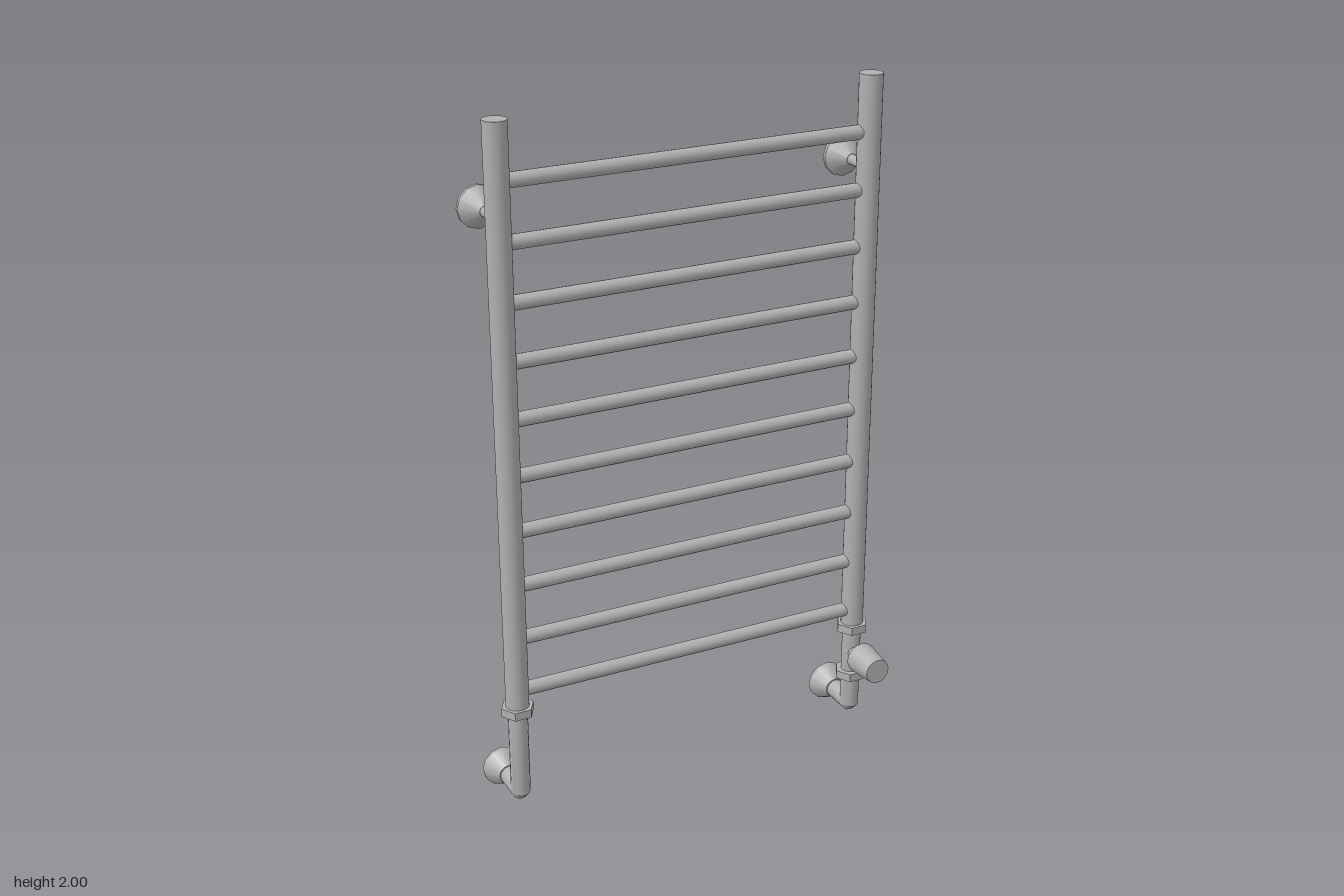
import * as THREE from 'three';
import { toCreasedNormals } from 'three/addons/utils/BufferGeometryUtils.js';

const POST_X = 0.54, AXIS_Z = -0.007, PIPE_R = 0.028, PIPE_Y = 0.063, WALL_Z = -0.15;

export function createModel() {
  const metal = new THREE.MeshStandardMaterial({ color: 0xb0b0b0 });
  metal.name = 'grey metal';
  const model = new THREE.Group();
  model.name = 'towelRadiator';

  function add(name, geometry, x, y, z, parent = model) {
    const mesh = new THREE.Mesh(geometry, metal);
    mesh.name = name;
    mesh.position.set(x, y, z);
    parent.add(mesh);
    return mesh;
  }

  // Round part along z, from z0 (radius r0) to z1 (radius r1), with z0 < z1
  function alongZ(name, x, y, z0, z1, r0, r1, sides, parent) {
    const g = new THREE.CylinderGeometry(r1, r0, z1 - z0, sides).rotateX(Math.PI / 2);
    return add(name, g, x, y, (z0 + z1) / 2, parent);
  }

  // Hexagonal nut with corners pointing along x
  function nut(x, y, parent) {
    const g = new THREE.CylinderGeometry(0.048, 0.048, 0.025, 6).rotateY(Math.PI / 2);
    add('nut', toCreasedNormals(g, 0.5), x, y, AXIS_Z, parent);
  }

  // Flared wall rose with a thin rim
  function wallRose(x, y, neckR, parent) {
    alongZ('roseCone', x, y, WALL_Z + 0.011, -0.093, 0.059, neckR, 12, parent);
    alongZ('roseRim', x, y, WALL_Z, WALL_Z + 0.011, 0.059, 0.059, 12, parent);
  }

  // Vertical pipe that turns back to the wall through a tight mitred elbow
  function elbowPipe(x, topY, parent) {
    const d = 0.005, mitre = 1 / Math.cos(Math.PI / 8);
    const rings = [ // y, z, tilt, stretch
      [topY, 0, 0, 1],
      [PIPE_Y + d, 0, Math.PI / 8, mitre],
      [PIPE_Y, -d, Math.PI * 3 / 8, mitre],
      [PIPE_Y, -0.09 - AXIS_Z, Math.PI / 2, 1],
    ];
    const sides = 16;
    const g = new THREE.CylinderGeometry(PIPE_R, PIPE_R, 1, sides, 3, true);
    const p = g.attributes.position;
    for (let i = 0; i < p.count; i++) {
      const [y, z, tilt, stretch] = rings[Math.floor(i / (sides + 1))];
      const out = p.getZ(i) * stretch;
      p.setY(i, y - out * Math.sin(tilt));
      p.setZ(i, z + out * Math.cos(tilt));
    }
    add('elbowPipe', toCreasedNormals(g, 0.6), x, 0, AXIS_Z, parent);
  }

  // Posts, wall brackets and pipe connections on both sides
  for (const side of [-1, 1]) {
    const x = side * POST_X;
    add('post', new THREE.CylinderGeometry(0.033, 0.033, 1.67, 24), x, 1.165, AXIS_Z);

    const bracket = new THREE.Group();
    bracket.name = 'wallBracket';
    model.add(bracket);
    alongZ('bracketStem', x, 1.74, -0.1, AXIS_Z, 0.015, 0.015, 12, bracket);
    wallRose(x, 1.74, 0.016, bracket);

    const connection = new THREE.Group();
    connection.name = 'pipeConnection';
    model.add(connection);
    nut(x, 0.326, connection);
    elbowPipe(x, 0.33, connection);
    wallRose(x, PIPE_Y, 0.03, connection);
  }

  // Rungs
  for (let i = 0; i < 10; i++) {
    const g = new THREE.CylinderGeometry(0.0205, 0.0205, 1.03, 16).rotateZ(Math.PI / 2);
    add('rung', g, 0, 0.384 + i * 0.1618, AXIS_Z - 0.002);
  }

  // Valve with a tapered knob on the left pipe
  const valve = new THREE.Group();
  valve.name = 'valve';
  model.add(valve);
  nut(POST_X, 0.167, valve);
  alongZ('valveCollar', POST_X, 0.243, AXIS_Z, 0.032, 0.021, 0.021, 16, valve);
  alongZ('valveStem', POST_X, 0.243, 0.02, 0.055, 0.011, 0.011, 12, valve);
  alongZ('valveKnob', POST_X, 0.243, 0.052, 0.147, 0.047, 0.038, 16, valve);

  return model;
}
